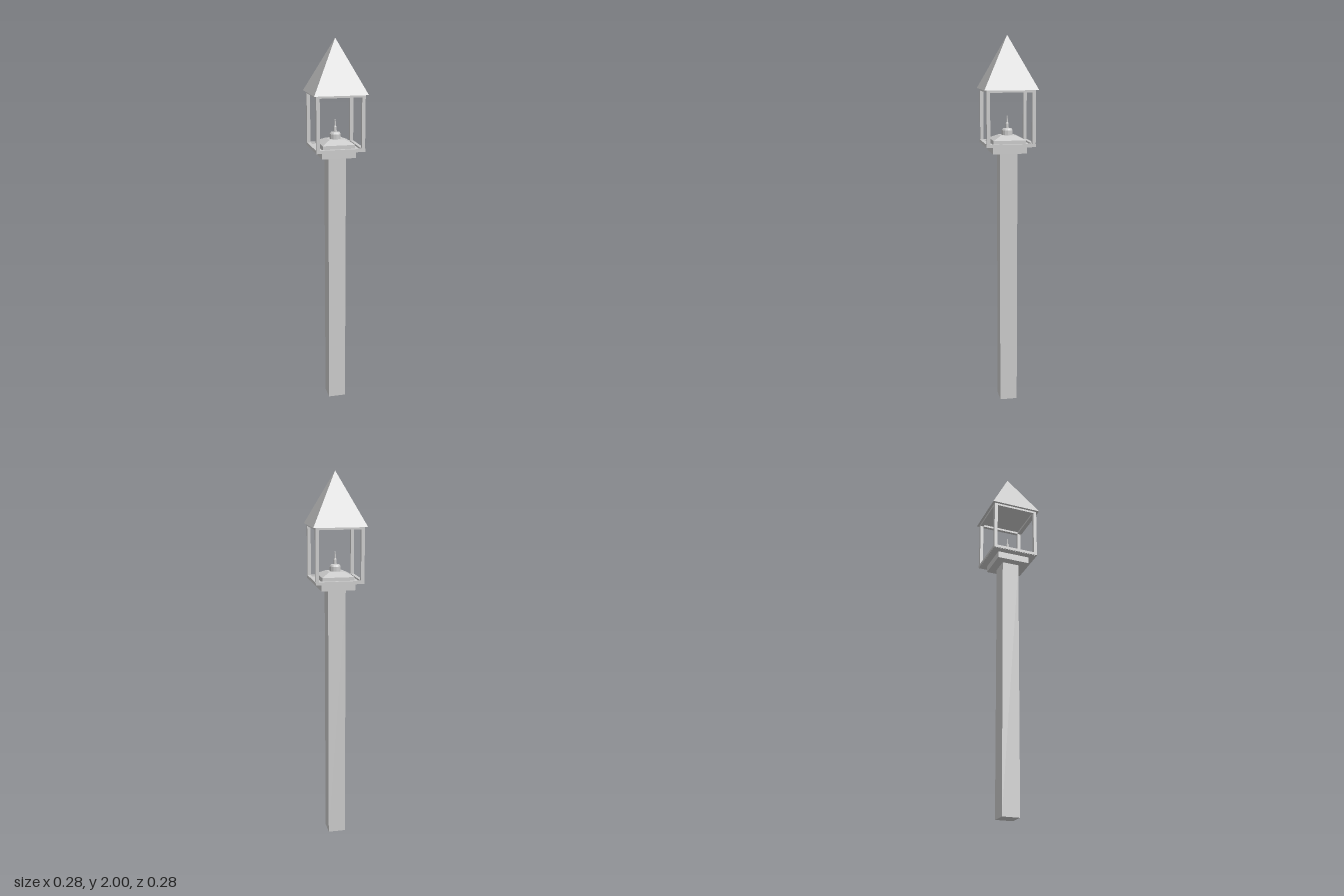
import * as THREE from 'three';

const material = new THREE.MeshStandardMaterial({ color: 0xcccccc, flatShading: true });

export function createModel() {
  const model = new THREE.Group();
  model.name = 'lampPost';

  const add = (name, geometry, x, y, z, parent = model) => {
    const mesh = new THREE.Mesh(geometry, material);
    mesh.name = name;
    mesh.position.set(x, y, z);
    parent.add(mesh);
    return mesh;
  };

  // Square block between two heights, given its half width
  const block = (name, half, y0, y1) =>
    add(name, new THREE.BoxGeometry(half * 2, y1 - y0, half * 2), 0, (y0 + y1) / 2, 0);

  // Square frustum or pyramid with sides facing the axes
  const taper = (name, bottom, top, y0, y1) => {
    const g = new THREE.CylinderGeometry(top * Math.SQRT2, bottom * Math.SQRT2, y1 - y0, 4);
    g.rotateY(Math.PI / 4);
    return add(name, g, 0, (y0 + y1) / 2, 0);
  };

  // Post and capital
  block('post', 0.047, 0, 1.4);
  block('capital', 0.09, 1.4, 1.437);

  // Lantern floor and stepped burner base
  block('lanternFloor', 0.124, 1.437, 1.445);
  block('burnerPlinth', 0.085, 1.445, 1.468);
  taper('burnerSlope', 0.085, 0.04, 1.468, 1.49);

  // Burner turned on a lathe, with a pointed flame
  const burnerProfile = [
    [0, 1.488], [0.029, 1.488], [0.029, 1.515], [0.023, 1.524],
    [0.009, 1.526], [0.008, 1.55], [0.004, 1.558], [0.003, 1.59], [0, 1.592],
  ].map(([r, y]) => new THREE.Vector2(r, y));
  add('burner', new THREE.LatheGeometry(burnerProfile, 12), 0, 0, 0);

  // Lantern frame: four sides, each with one corner post and two rails
  const bar = 0.018;
  const edge = 0.118;
  for (let i = 0; i < 4; i++) {
    const side = new THREE.Group();
    side.name = 'frameSide' + (i + 1);
    side.rotation.y = (i * Math.PI) / 2;
    add('cornerPost', new THREE.BoxGeometry(bar, 0.28, bar), edge, 1.588, edge, side);
    add('bottomRail', new THREE.BoxGeometry(edge * 2 + bar, 0.016, bar), 0, 1.446, edge + 0.001, side);
    add('topRail', new THREE.BoxGeometry(edge * 2, 0.012, bar), 0, 1.721, edge, side);
    model.add(side);
  }

  // Pyramid roof
  const roof = new THREE.ConeGeometry(0.14 * Math.SQRT2, 0.273, 4);
  roof.rotateY(Math.PI / 4);
  add('roof', roof, 0, 1.8635, 0);

  return model;
}
